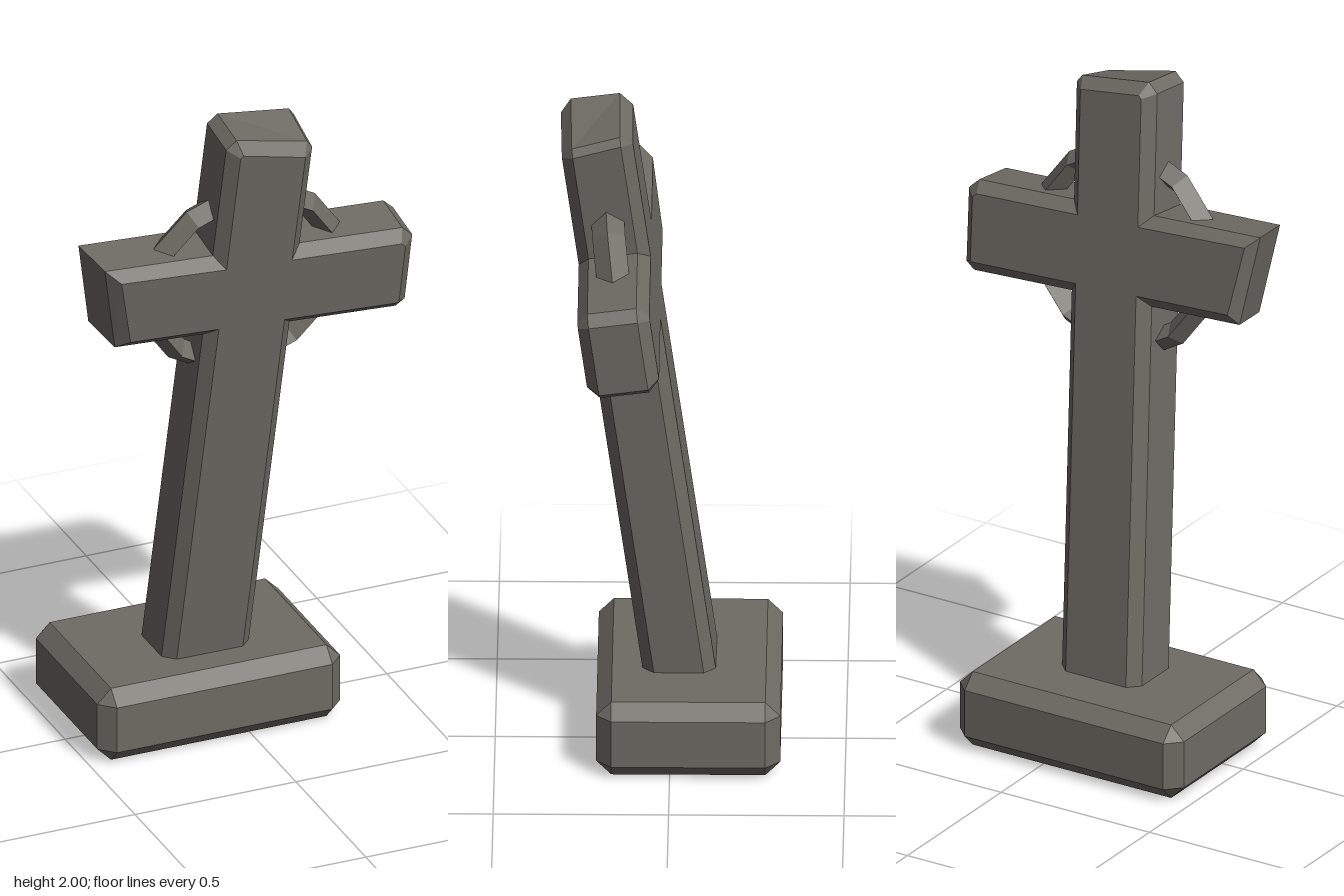
import * as THREE from 'three';
import { ConvexGeometry } from 'three/addons/geometries/ConvexGeometry.js';

const stone = new THREE.MeshStandardMaterial({ color: 0x6e6b64, flatShading: true });

function part(name, geometry) {
  const mesh = new THREE.Mesh(geometry, stone);
  mesh.name = name;
  return mesh;
}

// Box with all twelve edges cut by c
function chamferedBox(w, h, d, c) {
  const points = [];
  for (const sx of [-1, 1]) for (const sy of [-1, 1]) for (const sz of [-1, 1]) {
    const x = w / 2, y = h / 2, z = d / 2;
    for (const [a, b, e] of [[x, y - c, z - c], [x - c, y, z - c], [x - c, y - c, z]]) {
      points.push(new THREE.Vector3(sx * a, sy * b, sz * e));
    }
  }
  return new ConvexGeometry(points);
}

// Bevelled cross with worn, slanted ends
function crossGeometry() {
  const bevel = 0.033, thickness = 0.207;
  const outline = [
    [-0.135, -0.15], [0.135, -0.15], [0.135, 1.113],
    [0.465, 1.113], [0.491, 1.135], [0.489, 1.355], [0.455, 1.384], // right-hand end
    [0.135, 1.384], [0.136, 1.735], [0.118, 1.757],
    [-0.106, 1.776], [-0.135, 1.747], [-0.135, 1.384],              // top end
    [-0.482, 1.384], [-0.42, 1.113], [-0.135, 1.113],
  ].map(([x, y]) => new THREE.Vector2(x, y));
  const geo = new THREE.ExtrudeGeometry(new THREE.Shape(outline), {
    depth: thickness - 2 * bevel, bevelEnabled: true, bevelSegments: 1,
    bevelSize: bevel, bevelThickness: bevel, bevelOffset: -bevel,
  });
  geo.translate(0, 0, bevel - thickness / 2);

  // Skew one arm end and chip the front corner of the top
  const p = geo.attributes.position;
  for (let i = 0; i < p.count; i++) {
    const x = p.getX(i), y = p.getY(i), z = p.getZ(i);
    if (x < -0.3) p.setX(i, x + 0.16 * z);
    if (y > 1.65 && x > 0 && z > 0) p.setY(i, y - 0.02);
  }
  geo.computeVertexNormals();
  return geo;
}

export function createModel() {
  const model = new THREE.Group();
  model.name = 'leaningStoneCross';

  const base = part('base', chamferedBox(0.755, 0.23, 0.525, 0.043));
  base.position.set(-0.095, 0.115, -0.053);
  model.add(base);

  // Leaning upper part: forward and a little sideways
  const upper = new THREE.Group();
  upper.name = 'leaningCross';
  upper.position.set(-0.085, 0.23, -0.025);
  upper.rotation.set(0.136, 0, -0.057, 'ZYX');
  upper.add(part('cross', crossGeometry()));

  // Ring with a diamond section behind the crossing
  const ringGeo = new THREE.TorusGeometry(0.285, 0.035, 4, 14);
  ringGeo.scale(1, 1, 1.35);
  const ring = part('ring', ringGeo);
  ring.position.y = 1.248;
  upper.add(ring);

  model.add(upper);
  return model;
}
